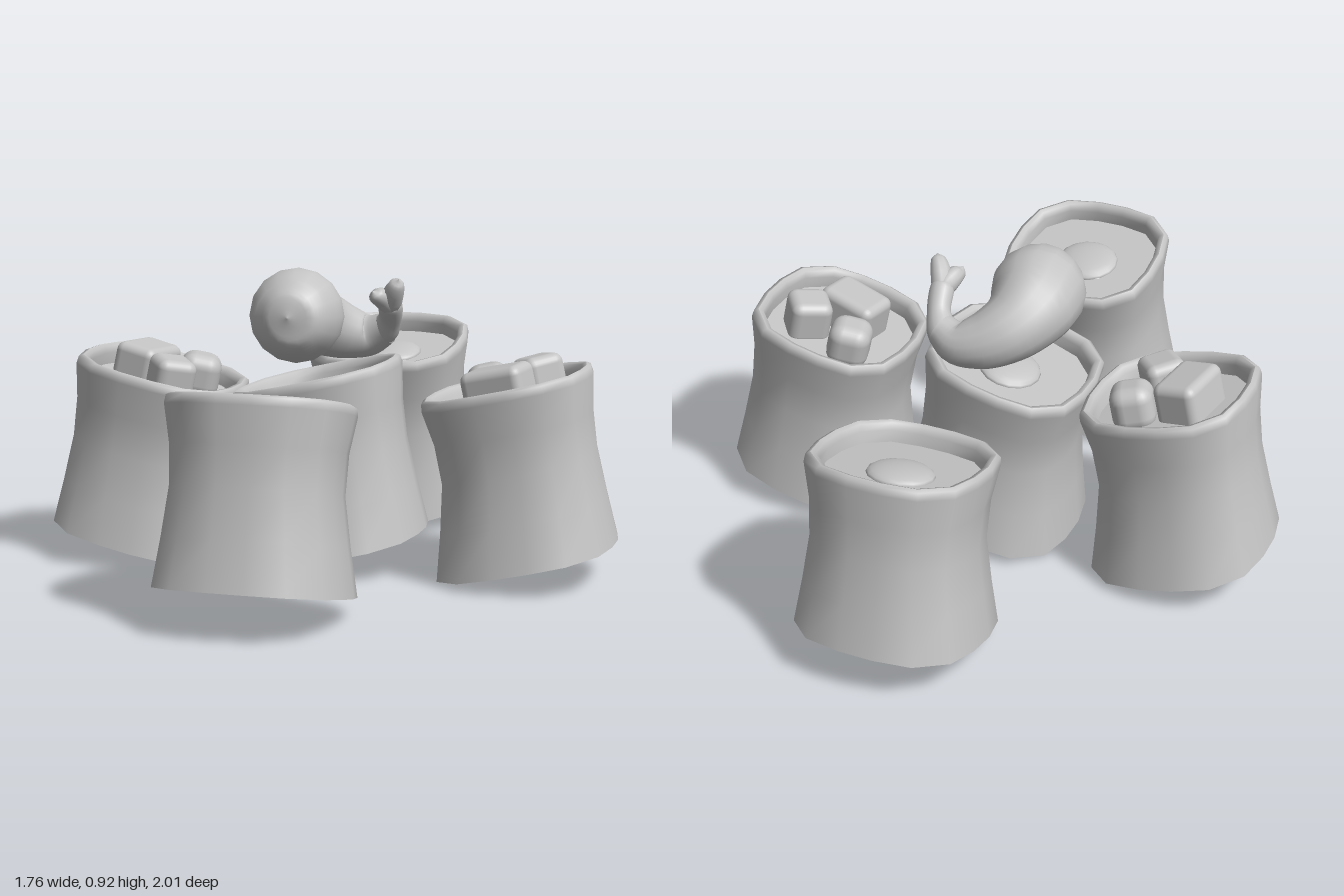
import * as THREE from 'three';
import { RoundedBoxGeometry } from 'three/addons/geometries/RoundedBoxGeometry.js';

const grey = new THREE.MeshStandardMaterial({ color: 0xc4c4c4, side: THREE.DoubleSide });
grey.name = 'plain grey';

function add(parent, name, geometry, x = 0, y = 0, z = 0) {
  const m = new THREE.Mesh(geometry, grey);
  m.name = name;
  m.position.set(x, y, z);
  parent.add(m);
  return m;
}

// Skins a list of equal-length closed rings, given as arrays of Vector3
function skin(rings) {
  const n = rings[0].length, index = [];
  for (let i = 0; i < rings.length - 1; i++)
    for (let j = 0; j < n; j++) {
      const a = i * n + j, b = i * n + (j + 1) % n;
      index.push(a, a + n, b, b, a + n, b + n);
    }
  const g = new THREE.BufferGeometry().setFromPoints(rings.flat());
  g.setIndex(index);
  g.computeVertexNormals();
  return g;
}

// Rounded-square ring at height h, shifted sideways by cx
function ring([h, cx, r]) {
  const pts = [];
  for (let i = 0; i < 16; i++) {
    const a = (i + 0.5) / 16 * Math.PI * 2, c = Math.cos(a), s = Math.sin(a);
    const k = r / Math.pow(Math.abs(c) ** 3 + Math.abs(s) ** 3, 1 / 3);
    pts.push(new THREE.Vector3(cx + c * k, h, s * k));
  }
  return pts;
}

const RIM = 0.045, FLOOR = 0.475, TILT = 0.222;

// Open-bottomed cup, flared at the foot and leaning towards the middle
function makeCup(name, x, y, z, turn) {
  const cup = new THREE.Group();
  cup.name = name;
  cup.position.set(x, y, z);
  cup.rotation.set(0, turn, TILT, 'YXZ');
  const wall = [[0, 0, 0.27], [0.14, 0.018, 0.248], [0.28, 0.035, 0.23], [0.4, 0.042, 0.235],
    [0.505, RIM, 0.253], [0.528, RIM, 0.25], [0.535, RIM, 0.238]];
  const lip = [[0.535, RIM, 0.238], [0.53, RIM, 0.224], [0.51, RIM, 0.217], [FLOOR, RIM, 0.215]];
  add(cup, 'cupWall', skin(wall.map(ring)));
  add(cup, 'cupLip', skin(lip.map(ring)));
  add(cup, 'filling', skin([[FLOOR, RIM, 0.215], [FLOOR, RIM, 0.001]].map(ring)));
  return cup;
}

// Low soft mound on the filling
function addMound(cup) {
  const g = new THREE.SphereGeometry(1, 16, 6, 0, Math.PI * 2, 0, Math.PI / 2);
  g.scale(0.095, 0.028, 0.1);
  add(cup, 'mound', g, RIM + 0.01, FLOOR, 0);
}

// Three rounded chunks, turned as a set around the cup
function addChunks(cup, turn) {
  const set = new THREE.Group();
  set.name = 'chunks';
  set.position.set(RIM, 0.52, 0);
  set.rotation.y = turn;
  const chunks = [[-0.075, -0.09, 0.13, 0.13, 0.3, 0.045], [0.09, -0.055, 0.13, 0.125, 0.7, 0.03],
    [-0.01, 0.065, 0.195, 0.14, -0.17, 0.028]];
  for (const [x, z, w, d, rot, r] of chunks)
    add(set, 'chunk', new RoundedBoxGeometry(w, 0.14, d, 3, r), x, 0, z).rotation.y = rot;
  cup.add(set);
}

// Tube of varying radius along a smooth path; stations are [x, y, z, radius]
function taper(stations, steps = 28, sides = 16) {
  const curve = new THREE.CatmullRomCurve3(stations.map(s => new THREE.Vector3(s[0], s[1], s[2])));
  const frames = curve.computeFrenetFrames(steps, false);
  const radii = new THREE.SplineCurve(stations.map((s, i) => new THREE.Vector2(i, s[3])));
  const rings = [];
  for (let i = 0; i <= steps; i++) {
    const t = i / steps, c = curve.getPoint(t), r = Math.max(radii.getPoint(t).y, 0.001);
    // Frames are spaced by arc length, so the ring plane follows the local tangent
    const tan = curve.getTangent(t);
    const n = frames.normals[i].clone().addScaledVector(tan, -frames.normals[i].dot(tan)).normalize();
    const b = new THREE.Vector3().crossVectors(tan, n);
    rings.push(Array.from({ length: sides }, (_, j) => {
      const a = j / sides * Math.PI * 2;
      return c.clone().addScaledVector(n, Math.cos(a) * r).addScaledVector(b, Math.sin(a) * r);
    }));
  }
  const g = skin(rings);
  g.index.array.reverse();
  g.computeVertexNormals();
  return g;
}

// Curled shrimp with a fat front end and a forked tail
function makeShrimp() {
  const shrimp = new THREE.Group();
  shrimp.name = 'shrimp';
  add(shrimp, 'body', taper([[-0.07, 0.80, 0.23, 0.001], [-0.072, 0.80, 0.215, 0.07],
    [-0.075, 0.795, 0.17, 0.115], [-0.085, 0.79, 0.09, 0.143], [-0.1, 0.785, 0, 0.13],
    [-0.07, 0.75, -0.09, 0.105], [0, 0.715, -0.145, 0.085], [0.07, 0.705, -0.165, 0.066],
    [0.13, 0.73, -0.15, 0.05]], 40));
  add(shrimp, 'tailStem', taper([[0.1, 0.71, -0.165, 0.001], [0.115, 0.72, -0.16, 0.045],
    [0.15, 0.765, -0.12, 0.036], [0.165, 0.82, -0.06, 0.035], [0.168, 0.835, -0.04, 0.001]]));
  for (const [x, y, z] of [[0.2, 0.885, -0.015], [0.135, 0.85, 0]])
    add(shrimp, 'tailLobe', taper([[0.16, 0.79, -0.085, 0.001], [0.165, 0.81, -0.065, 0.03],
      [(x + 0.165) / 2, (y + 0.82) / 2, -0.035, 0.032], [x, y, z, 0.022],
      [x + (x - 0.165) * 0.2, y + 0.012, z + 0.01, 0.001]], 16, 10));
  return shrimp;
}

export function createModel() {
  const model = new THREE.Group();
  model.name = 'cupSet';

  // Middle cup with the shrimp
  const middle = makeCup('middleCup', 0.022, 0.0735, 0, 0);
  addMound(middle);
  model.add(middle, makeShrimp());

  // Side cups with chunks
  const left = makeCup('leftCup', 0.615, 0.0735, 0, 0);
  addChunks(left, 0);
  const right = makeCup('rightCup', -0.615, 0.0735, 0, Math.PI);
  addChunks(right, Math.PI / 2);
  model.add(left, right);

  // Front and back cups with a mound and a block hanging below the filling
  for (const side of [1, -1]) {
    const cup = makeCup(side > 0 ? 'frontCup' : 'backCup', 0, 0.1, 0.74 * side, -side * Math.PI / 2);
    addMound(cup);
    add(cup, 'hangingBlock', new RoundedBoxGeometry(0.17, 0.41, 0.18, 3, 0.035), RIM, 0.275, 0);
    model.add(cup);
  }
  return model;
}
